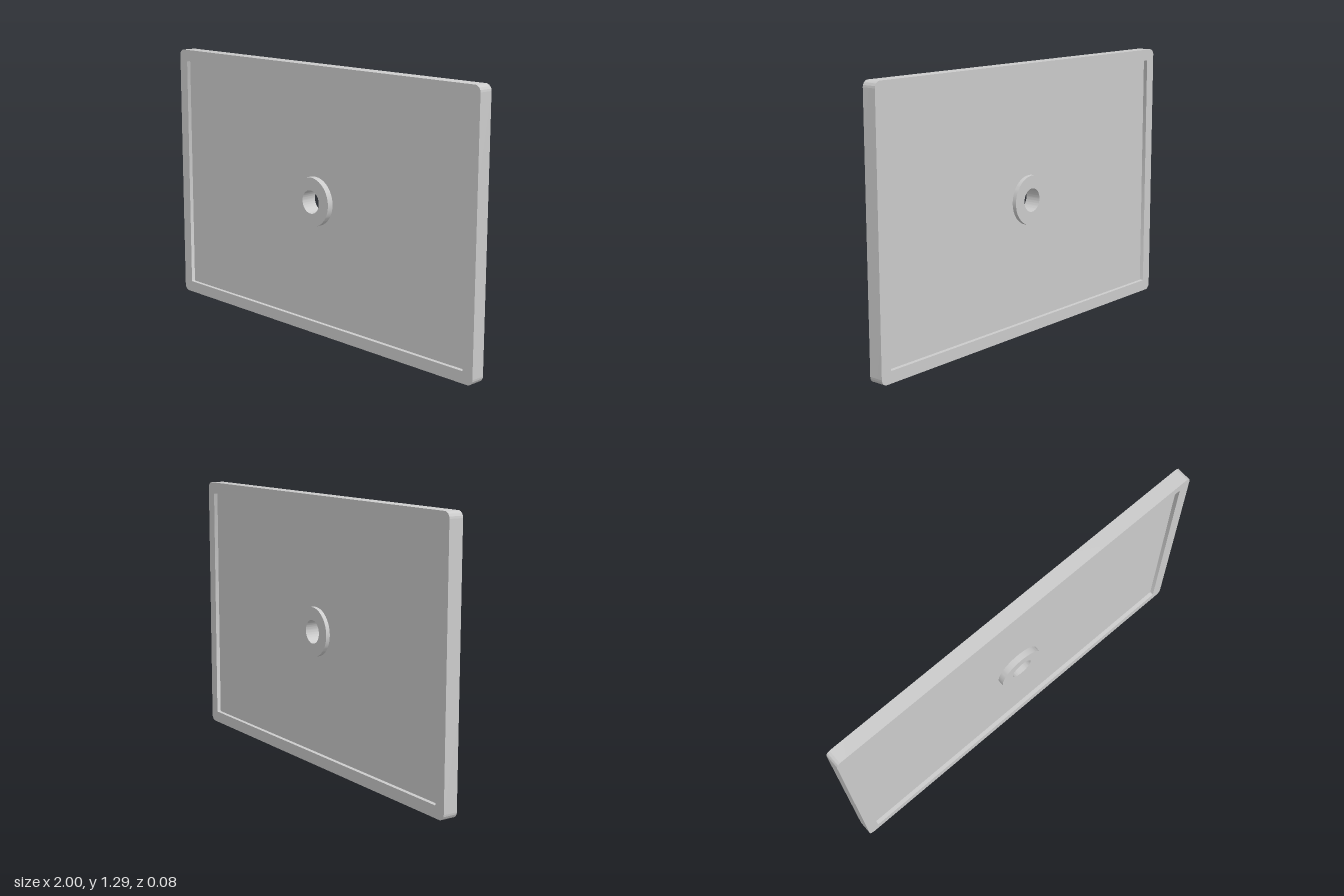
import * as THREE from 'three';
import { toCreasedNormals } from 'three/addons/utils/BufferGeometryUtils.js';

const HEIGHT = 1.29, MID = HEIGHT / 2, RIM = 0.056;
const BOSS_R = 0.118, HOLE_R = 0.056;

// Rounded rectangle outline centred on the plate's middle
function roundedRect(path, w, h, r) {
  const x = w / 2 - r, y = h / 2 - r;
  path.absarc(x, MID + y, r, 0, Math.PI / 2);
  path.absarc(-x, MID + y, r, Math.PI / 2, Math.PI);
  path.absarc(-x, MID - y, r, Math.PI, Math.PI * 1.5);
  path.absarc(x, MID - y, r, Math.PI * 1.5, Math.PI * 2);
  path.closePath();
  return path;
}

const circle = (path, r) => path.absarc(0, MID, r, 0, Math.PI * 2);

// Extrude an outline with one hole between two depths
function slab(name, shape, hole, back, front, material) {
  shape.holes.push(hole);
  const geo = new THREE.ExtrudeGeometry(shape, {
    depth: front - back, bevelEnabled: false, curveSegments: 32,
  });
  geo.translate(0, 0, back);
  const mesh = new THREE.Mesh(toCreasedNormals(geo, 0.6), material);
  mesh.name = name;
  return mesh;
}

export function createModel() {
  const group = new THREE.Group();
  group.name = 'framedPanel';
  const material = new THREE.MeshStandardMaterial({ color: 0xcccccc });
  const innerW = 2 - 2 * RIM, innerH = HEIGHT - 2 * RIM;

  // Raised rim around the plate
  group.add(slab('rim',
    roundedRect(new THREE.Shape(), 2, HEIGHT, 0.03),
    roundedRect(new THREE.Path(), innerW, innerH, 0.004),
    -0.04, 0.03, material));

  // Thin panel, recessed on both sides
  group.add(slab('panel',
    roundedRect(new THREE.Shape(), innerW, innerH, 0.004),
    circle(new THREE.Path(), BOSS_R),
    -0.02, 0.01, material));

  // Central boss with a through hole, standing proud of the rim in front
  group.add(slab('boss',
    circle(new THREE.Shape(), BOSS_R),
    circle(new THREE.Path(), HOLE_R),
    -0.04, 0.04, material));

  return group;
}
